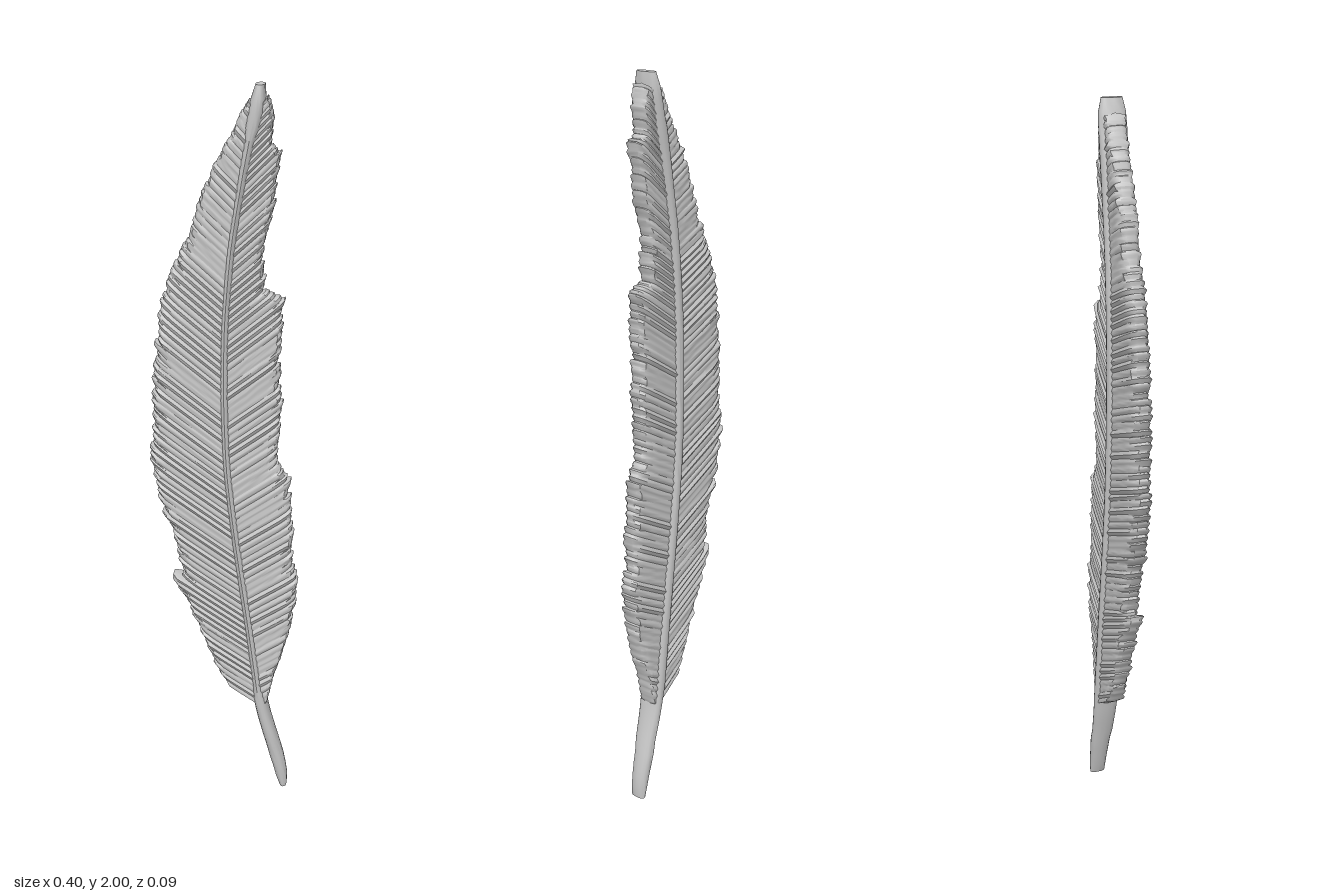
import * as THREE from 'three';
import { toCreasedNormals } from 'three/addons/utils/BufferGeometryUtils.js';

// Curves as [y, value] pairs, read by linear interpolation
const CENTRE = [[0, .174], [.1, .15], [.28, .1], [.5, .072], [.8, .03], [1, .007], [1.2, 0], [1.4, .002], [1.6, .018], [1.8, .05], [2, .09]];
const LEFT_EDGE = [[.2, .1], [.28, .07], [.33, .01], [.4, -.03], [.5, -.07], [.6, -.11], [.67, -.145], [.69, -.12], [.8, -.148], [.88, -.17], [1, -.202],
  [1.1, -.197], [1.3, -.187], [1.4, -.172], [1.5, -.152], [1.6, -.11], [1.65, -.082], [1.7, -.075], [1.8, -.03], [1.9, .025], [1.95, .05], [2, .085]];
const RIGHT_EDGE = [[.2, .115], [.28, .12], [.35, .135], [.45, .165], [.55, .187], [.65, .2], [.75, .19], [.9, .177], [.99, .177], [1.01, .14], [1.1, .144],
  [1.2, .154], [1.3, .142], [1.4, .152], [1.47, .152], [1.49, .104], [1.6, .097], [1.7, .124], [1.84, .139], [1.86, .114], [1.92, .122], [2, .1]];
const SHAFT_WIDTH = [[0, .01], [.02, .016], [.1, .02], [.28, .018], [1, .016], [1.7, .015], [1.95, .022], [2, .012]];
const SHAFT_DEPTH = [[0, .022], [.15, .03], [.3, .036], [1.96, .037], [2, .028]];

function sample(table, y) {
  if (y <= table[0][0]) return table[0][1];
  for (let i = 1; i < table.length; i++) {
    const [y0, a] = table[i - 1], [y1, b] = table[i];
    if (y <= y1) return a + (b - a) * (y - y0) / (y1 - y0);
  }
  return table[table.length - 1][1];
}

const centreX = y => (sample(CENTRE, y - .05) + sample(CENTRE, y) + sample(CENTRE, y + .05)) / 3;
const centreZ = y => -.013 + .01 * y;

function seeded(seed) {
  return () => (seed = (seed * 16807) % 2147483647) / 2147483647;
}

// Skin a list of closed rings; flip reverses the facing
function skin(rings, flip) {
  const n = rings[0].length, pos = rings.flat(2), index = [];
  for (let i = 0; i < rings.length - 1; i++) {
    for (let j = 0; j < n; j++) {
      const a = i * n + j, b = i * n + (j + 1) % n, c = b + n, d = a + n;
      if (flip) index.push(a, c, b, a, d, c);
      else index.push(a, b, c, a, c, d);
    }
  }
  const geo = new THREE.BufferGeometry();
  geo.setAttribute('position', new THREE.Float32BufferAttribute(pos, 3));
  geo.setIndex(index);
  return toCreasedNormals(geo, .8);
}

// Cross-section of a barb: [distance out, depth], front to back round the rim
const SECTION = [[0, 1], [.2, 1], [.4, 1], [.6, 1], [.8, .97], [.94, .85], [1, .45],
  [1, -.45], [.94, -.85], [.8, -.97], [.6, -1], [.4, -1], [.2, -1], [0, -1]];

// One side of the vane: a row of ridged barbs sweeping up and out to the edge
function vane(side, seed) {
  const rand = seeded(seed), edge = side > 0 ? RIGHT_EDGE : LEFT_EDGE;
  const barbs = 84, ridge = [0, .6, 1, .6], rings = [], from = .27, to = 1.95;
  const backDrop = side > 0 ? .02 : .07;
  for (let b = 0; b < barbs; b++) {
    const length = .94 + rand() * .08, lumpF = .8 + rand() * .4, lumpB = .8 + rand() * .4, relief = .002 + rand() * .004;
    ridge.forEach((r, k) => {
      const t = (b + k / ridge.length) / barbs, root = from + (to - from) * t;
      const slope = .65 + .45 * t * t, x0 = centreX(root);
      // March outward until the barb meets the outline
      let d = .012;
      while (d < .35 && side * (sample(edge, Math.min(root + slope * d, 2)) - x0) > d) d += .002;
      d *= length - (1 - r) * .03;
      const closed = (b === 0 && k === 0) || (b === barbs - 1 && k === ridge.length - 1);
      rings.push(SECTION.map(([s, h]) => {
        const lift = h < 0 ? backDrop * Math.sin(Math.PI * t) * (1 - s) : 0;
        const y = Math.min(root + slope * d * s + lift, 1.99);
        const rim = s > .9 ? (h > 0 ? lumpF : lumpB) : 1;
        const half = closed ? 0 : (.0245 + relief * r) * h * rim;
        const start = lift ? centreX(root + lift) : x0;
        return [start + (x0 + side * d - start) * s, y, centreZ(y) + half];
      }));
    });
  }
  return skin(rings, side < 0);
}

// Quill and rachis: an oval tube, narrow at the front and broad at the back
function shaft() {
  const rings = [], steps = 60, sides = 16;
  const ring = (y, scale) => Array.from({ length: sides }, (_, j) => {
    const a = j / sides * Math.PI * 2, c = Math.cos(a), s = Math.sin(a);
    const taper = y > .3 && y < 1.9 ? 1 - .45 * s : 1;
    return [
      centreX(y) + c * taper * sample(SHAFT_WIDTH, y) * scale, y,
      centreZ(y) - (y < .15 ? .003 : 0) + Math.sign(s) * Math.abs(s) ** .7 * sample(SHAFT_DEPTH, y) * scale
    ];
  });
  rings.push(ring(0, 0));
  for (let i = 0; i <= steps; i++) rings.push(ring(2 * i / steps, 1));
  rings.push(ring(2, 0));
  return skin(rings, true);
}

export function createModel() {
  const group = new THREE.Group();
  group.name = 'feather';
  const grey = new THREE.MeshStandardMaterial({ color: 0xc6c6c6 });
  grey.name = 'feather grey';
  const add = (name, geo) => {
    const mesh = new THREE.Mesh(geo, grey);
    mesh.name = name;
    group.add(mesh);
  };
  add('shaft', shaft());
  add('leftVane', vane(1, 11));
  add('rightVane', vane(-1, 29));
  return group;
}
